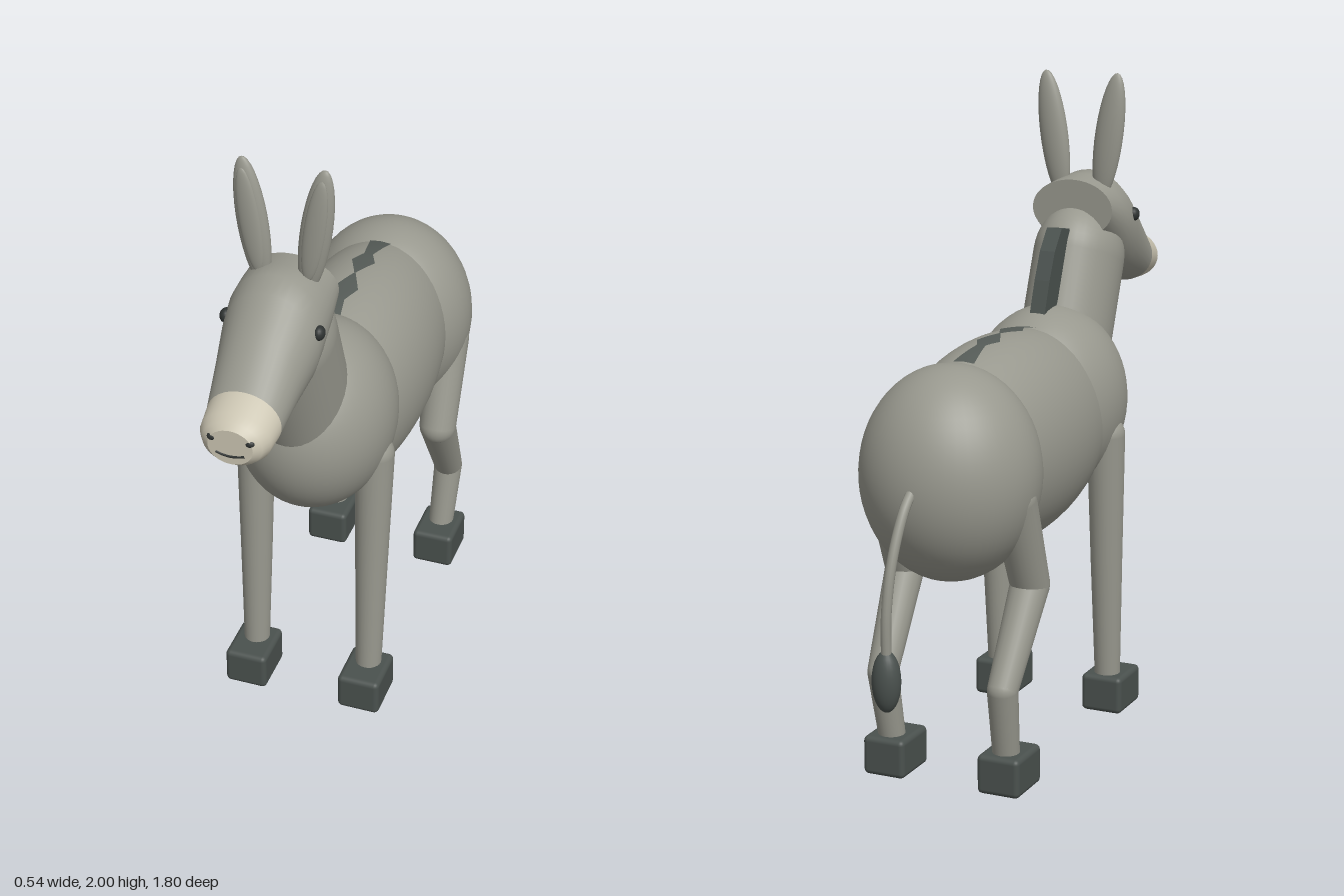
import * as THREE from 'three';
import { RoundedBoxGeometry } from 'three/addons/geometries/RoundedBoxGeometry.js';

const mat = (name, color) => Object.assign(new THREE.MeshStandardMaterial({ color }), { name });
const V = (x, y, z) => new THREE.Vector3(x, y, z);

export function createModel() {
  const model = new THREE.Group();
  model.name = 'donkey';
  const coat = mat('grey coat', 0x98988e);
  const dark = mat('dark hair and hoof', 0x4a514e);
  const pale = mat('pale muzzle', 0xcbc5b2);
  const black = mat('eye and nostril', 0x2f3332);
  const stripeMat = mat('dorsal stripe', 0x555b57);
  stripeMat.side = THREE.DoubleSide;

  const add = (name, geo, material, parent = model) => {
    const mesh = new THREE.Mesh(geo, material);
    mesh.name = name;
    parent.add(mesh);
    return mesh;
  };
  const ellipsoid = (name, material, p, r, parent, segs = 40) => {
    const mesh = add(name, new THREE.SphereGeometry(1, segs, Math.round(segs * 0.6)), material, parent);
    mesh.position.set(...p);
    mesh.scale.set(...r);
    return mesh;
  };
  // Tapered round limb through joints [x, y, z, radius]
  const limb = (name, joints, parent) => {
    joints.forEach(([x, y, z, r], i) => {
      ellipsoid(name + 'Joint', coat, [x, y, z], [r, r, r], parent, 24);
      if (!i) return;
      const [px, py, pz, pr] = joints[i - 1];
      const a = V(px, py, pz), b = V(x, y, z), d = a.clone().sub(b);
      const seg = add(name + 'Segment', new THREE.CylinderGeometry(pr, r, d.length(), 24, 1, true), coat, parent);
      seg.position.copy(a).add(b).multiplyScalar(0.5);
      seg.quaternion.setFromUnitVectors(V(0, 1, 0), d.normalize());
    });
  };
  // Closed loft of elliptical sections [z, bottom, top, halfWidth]
  const loft = (sections, n = 36) => {
    const pos = [], idx = [];
    const ring = ([z, lo, hi, w]) => {
      for (let j = 0; j < n; j++) {
        const t = (j / n) * Math.PI * 2;
        pos.push(w * Math.cos(t), (lo + hi) / 2 + ((hi - lo) / 2) * Math.sin(t), z);
      }
    };
    sections.forEach(ring);
    for (let i = 0; i < sections.length - 1; i++) {
      for (let j = 0; j < n; j++) {
        const a = i * n + j, b = i * n + ((j + 1) % n);
        idx.push(a, b, b + n, a, b + n, a + n);
      }
    }
    [sections[0], sections[sections.length - 1]].forEach((s, end) => {
      const base = pos.length / 3;
      ring(s);
      pos.push(0, (s[1] + s[2]) / 2, s[0]);
      for (let j = 0; j < n; j++) {
        const a = base + j, b = base + ((j + 1) % n);
        idx.push(base + n, end ? a : b, end ? b : a);
      }
    });
    const g = new THREE.BufferGeometry();
    g.setAttribute('position', new THREE.Float32BufferAttribute(pos, 3));
    g.setIndex(idx);
    g.computeVertexNormals();
    return g;
  };

  // Body masses
  const barrel = { p: [0, 0.96, -0.14], r: [0.25, 0.32, 0.57] };
  ellipsoid('barrel', coat, barrel.p, barrel.r, model, 48);
  ellipsoid('chest', coat, [0, 1.01, 0.2], [0.242, 0.297, 0.285], model, 48);
  ellipsoid('rump', coat, [0, 0.94, -0.488], [0.268, 0.32, 0.265], model, 48);

  // Neck: flattened capsule leaning forward
  const low = V(0, 1.14, 0.325), high = V(0, 1.42, 0.44), axis = high.clone().sub(low);
  const neck = add('neck', new THREE.CapsuleGeometry(0.17, axis.length(), 12, 36), coat);
  neck.position.copy(low).add(high).multiplyScalar(0.5);
  neck.rotation.x = Math.atan2(axis.z, axis.y);
  neck.scale.x = 0.82;

  // Head and pale muzzle
  add('head', loft([
    [0.385, 1.485, 1.67, 0.135], [0.46, 1.42, 1.68, 0.143], [0.525, 1.365, 1.684, 0.146],
    [0.58, 1.325, 1.655, 0.143], [0.68, 1.302, 1.575, 0.125], [0.79, 1.282, 1.467, 0.11],
  ]), coat);
  add('muzzle', loft([
    [0.79, 1.282, 1.467, 0.11], [0.855, 1.28, 1.44, 0.104], [0.88, 1.287, 1.425, 0.088], [0.897, 1.3, 1.41, 0.066],
  ]), pale);
  const smile = new THREE.QuadraticBezierCurve3(V(-0.042, 1.334, 0.896), V(0, 1.318, 0.898), V(0.042, 1.334, 0.896));
  add('mouth', new THREE.TubeGeometry(smile, 12, 0.004, 6), black);

  // Mirrored parts
  for (const s of [1, -1]) {
    const side = s > 0 ? 'left' : 'right';
    ellipsoid(side + 'Nostril', black, [s * 0.055, 1.376, 0.888], [0.015, 0.012, 0.012], model, 16);
    ellipsoid(side + 'Eye', black, [s * 0.137, 1.545, 0.56], [0.018, 0.022, 0.022], model, 20);

    const ear = new THREE.Group();
    ear.name = side + 'Ear';
    ear.position.set(s * 0.093, 1.8, 0.455);
    ear.rotation.z = -s * 0.14;
    model.add(ear);
    ellipsoid('outerEar', coat, [0, 0, 0], [0.046, 0.202, 0.028], ear, 28);
    ellipsoid('innerEar', coat, [0, 0.01, 0.018], [0.032, 0.165, 0.014], ear, 24);

    limb(side + 'FrontLeg', [[s * 0.19, 0.91, 0.218, 0.06], [s * 0.188, 0.5, 0.235, 0.05], [s * 0.187, 0.1, 0.253, 0.04]]);
    limb(side + 'HindLeg', [
      [s * 0.2, 0.88, -0.49, 0.068], [s * 0.205, 0.6, -0.385, 0.059],
      [s * 0.195, 0.325, -0.555, 0.046], [s * 0.187, 0.1, -0.512, 0.04],
    ]);
    for (const [name, z] of [['FrontHoof', 0.28], ['HindHoof', -0.495]]) {
      add(side + name, new RoundedBoxGeometry(0.135, 0.12, 0.168, 3, 0.016), dark).position.set(s * 0.187, 0.062, z);
    }
  }

  // Mane: upright plate behind the neck, drawn in (z, y)
  const crest = new THREE.Shape([
    [0.33, 1.5], [0.305, 1.53], [0.247, 1.538], [0.195, 1.475], [0.155, 1.39], [0.118, 1.29], [0.2, 1.29],
  ].map(([z, y]) => new THREE.Vector2(-z, y)));
  const maneGeo = new THREE.ExtrudeGeometry(crest, { depth: 0.05, bevelEnabled: false });
  maneGeo.translate(0, 0, -0.025).rotateY(Math.PI / 2);
  add('mane', maneGeo, dark);

  // Dorsal stripe hugging the barrel: [z, halfWidth]
  const widths = [[-0.4, 0.034], [-0.28, 0.014], [-0.23, 0.037], [-0.15, 0.002], [-0.07, 0.037], [-0.01, 0.014], [0.085, 0.03]];
  const sp = [], si = [];
  const top = (x, z) => barrel.p[1] + 0.005 + barrel.r[1] *
    Math.sqrt(1 - (x / barrel.r[0]) ** 2 - ((z - barrel.p[2]) / barrel.r[2]) ** 2);
  for (let k = 0; k < widths.length - 1; k++) {
    const steps = 4;
    for (let i = 0; i < steps + (k === widths.length - 2 ? 1 : 0); i++) {
      const z = THREE.MathUtils.lerp(widths[k][0], widths[k + 1][0], i / steps);
      const w = THREE.MathUtils.lerp(widths[k][1], widths[k + 1][1], i / steps);
      for (const x of [-w, 0, w]) sp.push(x, top(x, z), z);
    }
  }
  for (let i = 0; i < sp.length / 9 - 1; i++) {
    for (const c of [0, 1]) {
      const a = i * 3 + c;
      si.push(a, a + 3, a + 4, a, a + 4, a + 1);
    }
  }
  const stripe = new THREE.BufferGeometry();
  stripe.setAttribute('position', new THREE.Float32BufferAttribute(sp, 3));
  stripe.setIndex(si);
  stripe.computeVertexNormals();
  add('dorsalStripe', stripe, stripeMat);

  // Tail and tuft
  const tailPath = new THREE.CatmullRomCurve3([
    V(0, 0.95, -0.73), V(0.003, 0.9, -0.78), V(0.012, 0.77, -0.838), V(0.02, 0.62, -0.862), V(0.024, 0.47, -0.858),
  ]);
  add('tail', new THREE.TubeGeometry(tailPath, 24, 0.015, 12), coat);
  ellipsoid('tailTuft', dark, [0.025, 0.418, -0.857], [0.043, 0.092, 0.039], model, 24);

  return model;
}
